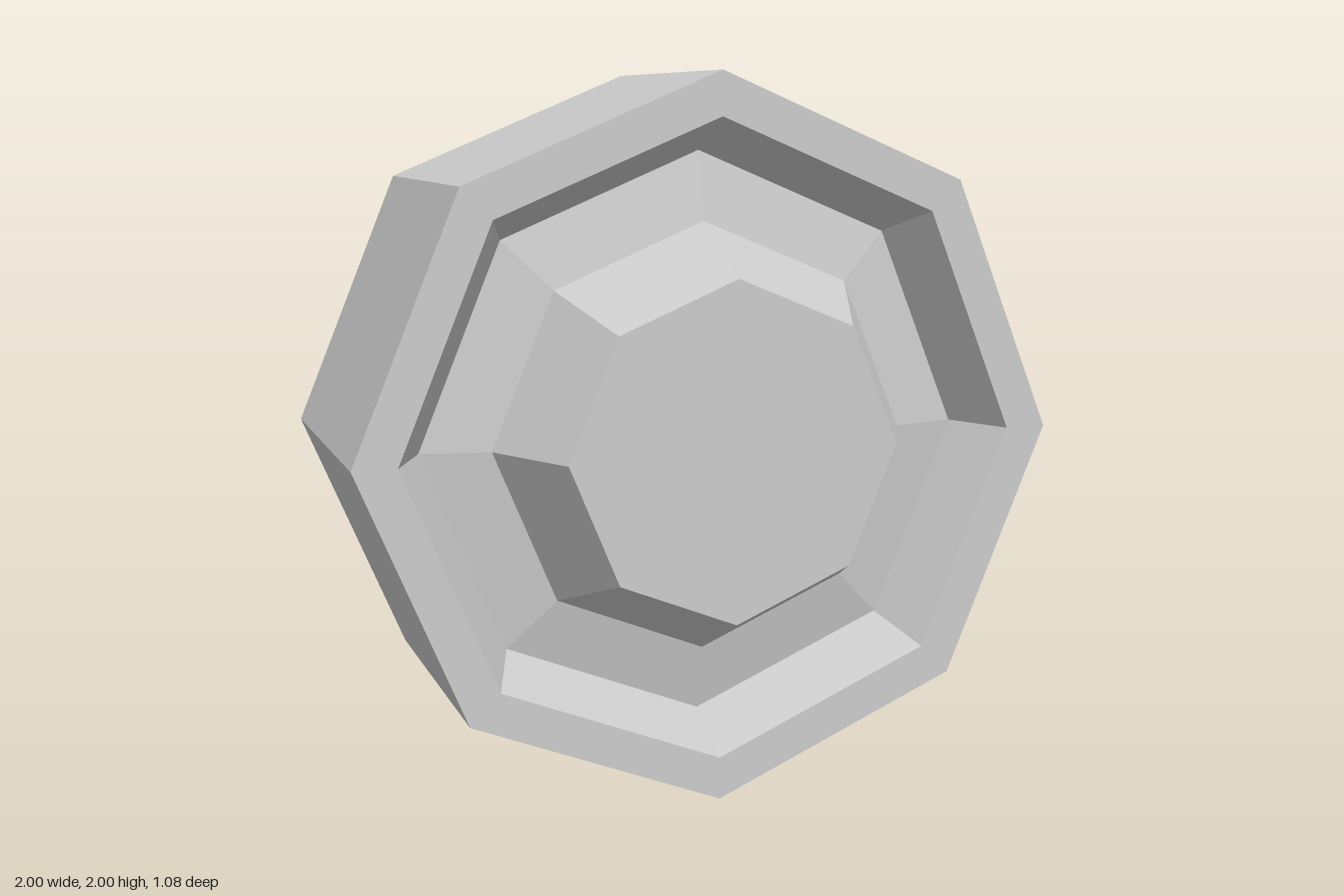
import * as THREE from 'three';

const SIDES = 8;

export function createModel() {
  const wheel = new THREE.Group();
  wheel.name = 'wheel';
  const material = new THREE.MeshStandardMaterial({ color: 0xcccccc, flatShading: true });

  // Octagonal ring swept around the z axis from [radius, z] points, listed back to front
  function addRing(name, profile) {
    const points = profile.map(([r, z]) => new THREE.Vector2(r, z));
    const geometry = new THREE.LatheGeometry(points, SIDES).rotateX(Math.PI / 2);
    const mesh = new THREE.Mesh(geometry, material);
    mesh.name = name;
    mesh.position.y = 1;
    wheel.add(mesh);
  }

  // Tyre: broad tread, flat sidewalls and bevelled inner lips
  addRing('tyre', [
    [0.775, -0.24], [0.865, -0.42], [1, -0.42],
    [1, 0.42], [0.88, 0.42], [0.79, 0.24],
  ]);

  // Sloping rim dishes between tyre and hub
  addRing('frontRim', [[0.79, 0.24], [0.6, 0.28]]);
  addRing('backRim', [[0.59, -0.28], [0.775, -0.24]]);

  // Tapered hub caps standing proud of the sidewalls
  addRing('frontHub', [[0.6, 0.28], [0.465, 0.54], [0, 0.54]]);
  addRing('backHub', [[0, -0.54], [0.455, -0.54], [0.59, -0.28]]);

  return wheel;
}
